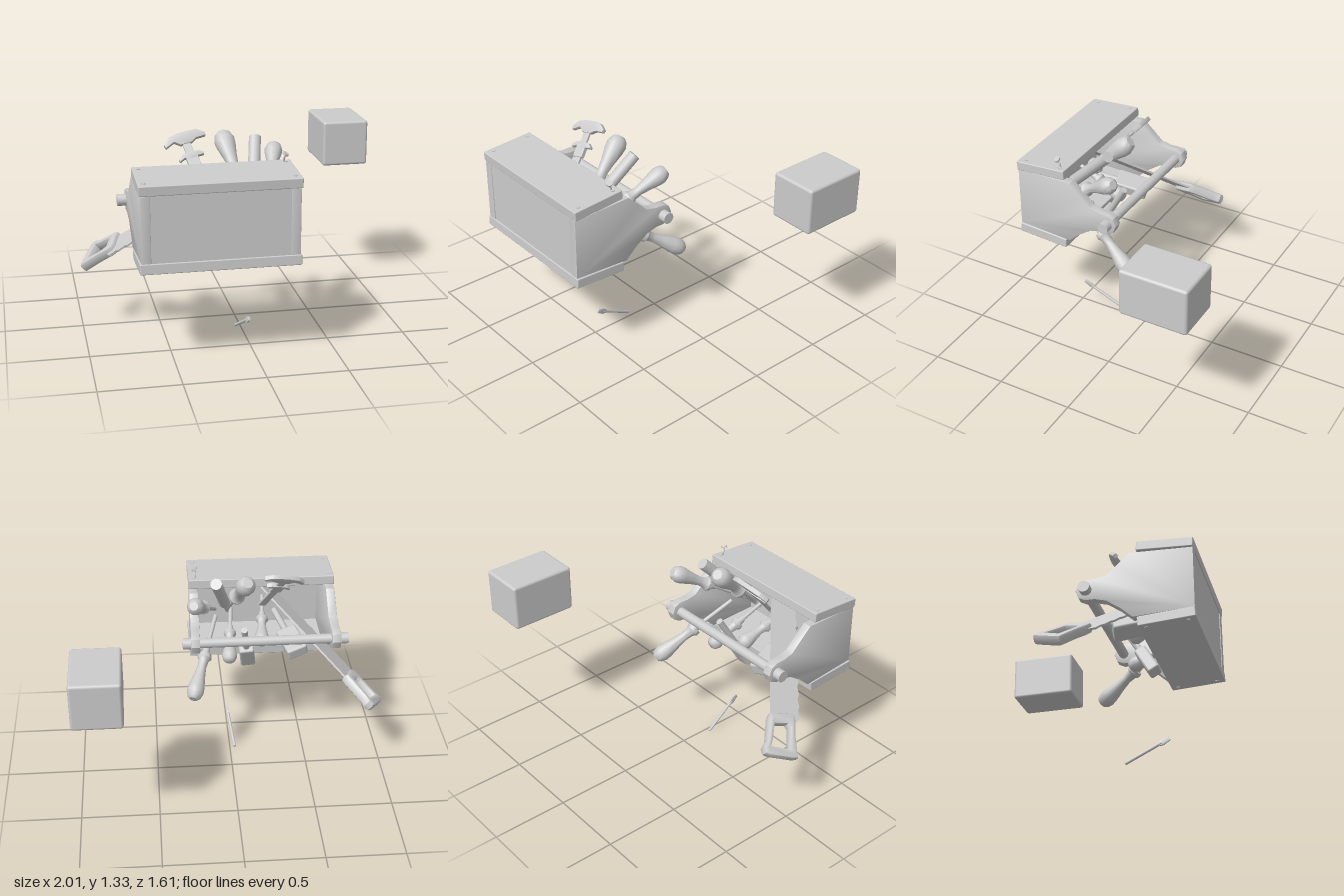
import * as THREE from 'three';
import { RoundedBoxGeometry } from 'three/addons/geometries/RoundedBoxGeometry.js';
import { toCreasedNormals } from 'three/addons/utils/BufferGeometryUtils.js';

const mat = new THREE.MeshStandardMaterial({ color: 0xcccccc });
const V = (a) => new THREE.Vector3(...a);
const outline = (pts) => pts.map((p) => new THREE.Vector2(...p));

export function createModel() {
  const root = new THREE.Group();

  const add = (name, geo, pos = [0, 0, 0], rot = [0, 0, 0], parent = root) => {
    const m = new THREE.Mesh(geo, mat);
    m.name = name;
    m.position.set(...pos);
    m.rotation.set(...rot);
    parent.add(m);
    return m;
  };
  const rbox = (w, h, d, r = 0.01) => new RoundedBoxGeometry(w, h, d, 2, r);
  const slab = (shape, depth, bevel = 0.004) => {
    const g = new THREE.ExtrudeGeometry(shape, {
      depth: depth - 2 * bevel, bevelEnabled: bevel > 0, bevelSize: bevel, bevelOffset: -bevel,
      bevelThickness: bevel, bevelSegments: 2, curveSegments: 10,
    });
    g.translate(0, 0, -depth / 2 + bevel);
    return toCreasedNormals(g, 0.6);
  };
  // Group whose local +y runs from a towards b
  const aimed = (name, a, b) => {
    const g = new THREE.Group();
    g.name = name;
    g.position.set(...a);
    g.quaternion.setFromUnitVectors(new THREE.Vector3(0, 1, 0), V(b).sub(V(a)).normalize());
    root.add(g);
    return g;
  };
  const rod = (name, a, b, r, seg = 12) => {
    const len = V(a).distanceTo(V(b));
    const g = new THREE.CylinderGeometry(r, r, len, seg);
    g.translate(0, len / 2, 0);
    add(name, g, [0, 0, 0], [0, 0, 0], aimed(name, a, b));
  };

  // Loose rounded block
  add('looseBlock', rbox(0.31, 0.305, 0.435, 0.018), [0.845, 1.038, -0.592]);

  // Toolbox lying with its opening towards the back
  add('sideBoardUpper', rbox(0.965, 0.062, 0.352, 0.006), [-0.23, 1.134, 0.628], [0.068, 0, 0]);
  add('sideBoardLower', rbox(0.965, 0.064, 0.352, 0.006), [-0.23, 0.642, 0.628], [-0.058, 0, 0]);
  add('basePanel', rbox(0.87, 0.46, 0.035, 0.004), [-0.23, 0.89, 0.777]);

  // End panels, drawn with shape x = -z
  const half = [[-0.8, 1.09], [-0.41, 1.105], [-0.33, 1.03], [-0.265, 0.97], [-0.195, 0.955], [-0.135, 0.955],
    [-0.095, 0.935], [-0.075, 0.887], [-0.095, 0.835], [-0.135, 0.815], [-0.195, 0.815], [-0.265, 0.795],
    [-0.35, 0.735], [-0.425, 0.665], [-0.8, 0.685]];
  const endGeo = slab(new THREE.Shape(outline(half)), 0.058);
  for (const s of [-1, 1]) {
    add('endPanel', endGeo, [-0.23 + s * 0.46, 0, 0], [0, Math.PI / 2 - s * 0.02, 0]);
    const end = -0.23 + s * 0.54;
    rod('handleEnd', [end - s * 0.055, 0.883, 0.14], [end, 0.883, 0.14], 0.037, 16);
    // Screws on both side boards
    for (const z of [0.5, 0.755]) {
      const x = -0.23 + s * 0.445;
      add('screw', new THREE.CylinderGeometry(0.013, 0.013, 0.008, 10), [x, 1.165 - (z - 0.628) * 0.068, z]);
      add('screw', new THREE.CylinderGeometry(0.013, 0.013, 0.008, 10), [x, 0.61 + (z - 0.628) * 0.058, z]);
    }
  }
  rod('carryBar', [-0.74, 0.883, 0.14], [0.28, 0.883, 0.14], 0.032, 16);

  // Bent nail
  const nail = new THREE.CatmullRomCurve3([[0.205, 1.16, 0.5], [0.205, 1.195, 0.505], [0.205, 1.205, 0.515], [0.21, 1.225, 0.52]].map(V));
  add('bentNail', new THREE.TubeGeometry(nail, 10, 0.006, 6));
  add('nailHead', new THREE.CylinderGeometry(0.02, 0.02, 0.012, 10), [0.21, 1.228, 0.52], [0.3, 0, -0.5]);

  // Turned handles with ferrule and shaft: from collar, to butt
  const handle = (name, collar, butt, r, shaft) => {
    const len = V(collar).distanceTo(V(butt));
    const g = aimed(name, collar, butt);
    const prof = [[0, 0], [0.8, 0], [0.85, 0.08], [0.6, 0.14], [0.52, 0.28], [0.68, 0.48], [0.95, 0.72], [1, 0.84], [0.8, 0.95], [0.5, 1], [0, 1]];
    const geo = new THREE.LatheGeometry(outline(prof.map(([x, y]) => [x * r, y * len])), 14);
    add('grip', toCreasedNormals(geo, 0.7), [0, 0, 0], [0, 0, 0], g);
    add('ferrule', new THREE.CylinderGeometry(r * 0.5, r * 0.4, 0.05, 12), [0, -0.022, 0], [0, 0, 0], g);
    add('shaft', new THREE.CylinderGeometry(0.014, 0.014, shaft, 8), [0, -shaft / 2, 0], [0, 0, 0], g);
  };
  handle('largeUpperTool', [-0.06, 1.06, 0.42], [-0.115, 1.29, 0.175], 0.064, 0.25);
  handle('cornerUpperTool', [0.16, 1.03, 0.35], [0.235, 1.18, 0.1], 0.056, 0.36);
  handle('cornerLowerTool', [0.16, 0.74, 0.235], [0.255, 0.565, -0.03], 0.056, 0.3);
  handle('middleTool', [-0.02, 0.78, 0.45], [0.0, 0.68, 0.23], 0.05, 0.2);
  handle('shortTool', [-0.24, 0.85, 0.5], [-0.22, 0.77, 0.29], 0.05, 0.2);

  // Straight file handle
  rod('fileHandle', [0.01, 0.96, 0.53], [0.085, 1.265, 0.225], 0.038);
  rod('fileBlade', [-0.02, 0.84, 0.65], [0.02, 1.0, 0.49], 0.02, 6);

  // Wooden blocks with stems, resting on the lower edge
  const block = (a, b, w, d) => {
    const len = V(a).distanceTo(V(b));
    const g = aimed('malletBlock', a, b);
    add('block', rbox(w, len, d, 0.014), [0, len / 2, 0], [0, 0, 0], g);
    add('stem', new THREE.CylinderGeometry(0.022, 0.022, 0.25, 10), [0, len + 0.1, 0], [0, 0, 0], g);
  };
  block([-0.14, 0.56, 0.43], [-0.12, 0.73, 0.33], 0.1, 0.08);
  block([-0.46, 0.72, 0.24], [-0.4, 0.77, 0.45], 0.14, 0.08);

  // Caliper: local y runs along the beam out of the box
  const caliper = new THREE.Group();
  caliper.name = 'caliper';
  const up = V([-0.1, 0.3, -0.27]).normalize();
  const across = V([1, 0.2, -0.15]).addScaledVector(up, -V([1, 0.2, -0.15]).dot(up)).normalize();
  caliper.quaternion.setFromRotationMatrix(new THREE.Matrix4().makeBasis(across, up, across.clone().cross(up)));
  caliper.position.set(-0.36, 1.285, 0.225);
  root.add(caliper);
  const jaw = (s, y) => {
    const pts = [[-0.035, 0.03], [0.035, 0.03], [0.09, 0.025], [0.135, -0.01], [0.13, -0.03], [0.07, -0.03], [0.035, -0.05],
      [-0.035, -0.05], [-0.07, -0.02], [-0.13, -0.045], [-0.135, -0.02], [-0.09, 0.02]];
    add('jaw', slab(new THREE.Shape(outline(pts.map(([a, b]) => [a * s, b * s]))), 0.03), [0, y, 0], [0, 0, 0], caliper);
  };
  jaw(1, 0);
  jaw(0.6, -0.13);
  add('beam', rbox(0.05, 0.5, 0.018, 0.004), [0, -0.24, 0], [0, 0, 0], caliper);
  add('slider', rbox(0.075, 0.09, 0.03, 0.005), [0, -0.17, 0], [0, 0, 0], caliper);

  // Hand saw: local x climbs into the box, local y is world z
  const saw = new THREE.Group();
  saw.name = 'handSaw';
  saw.quaternion.setFromRotationMatrix(new THREE.Matrix4().makeBasis(
    V([0.76, 0.65, 0]).normalize(), V([0, 0, 1]), V([0.65, -0.76, 0]).normalize()));
  saw.position.set(-0.7, 0.67, 0);
  root.add(saw);
  const blade = [[0.62, 0.55], [0.5, 0.455], [-0.09, 0.05], [-0.19, 0.18]];
  const teeth = 10;
  for (let i = 0; i < teeth; i++) {
    const x = -0.18 + (i / teeth) * 0.68;
    const y = 0.2 + (i / teeth) * 0.44;
    blade.push([x, y + 0.035], [x + 0.052, y + 0.055]);
  }
  add('sawBlade', slab(new THREE.Shape(outline(blade)), 0.012, 0), [0, 0, 0], [0, 0, 0], saw);
  const grip = new THREE.Shape(outline([[-0.385, 0.07], [-0.375, 0.04], [-0.285, -0.1], [-0.262, -0.12], [-0.225, -0.11], [-0.2, -0.065],
    [-0.08, 0.03], [-0.06, 0.06], [-0.085, 0.1], [-0.11, 0.17], [-0.14, 0.205], [-0.18, 0.19], [-0.25, 0.14]]));
  grip.holes.push(new THREE.Path(outline([[-0.31, 0.05], [-0.24, -0.055], [-0.22, -0.03], [-0.135, 0.045], [-0.17, 0.125], [-0.2, 0.125]])));
  add('sawGrip', slab(grip, 0.066, 0.018), [0, 0, 0], [0, 0, 0], saw);

  // Small loose screwdriver bit with a flattened tip
  const bit = aimed('looseBit', [-0.033, 0.012, 0.2], [0.003, 0.165, 0.475]);
  add('bitShaft', new THREE.CylinderGeometry(0.01, 0.01, 0.26, 10), [0, 0.13, 0], [0, 0, 0], bit);
  const tip = new THREE.Shape(outline([[-0.009, 0.235], [0.009, 0.235], [0.02, 0.265], [0.013, 0.317], [-0.013, 0.317], [-0.02, 0.265]]));
  add('bitTip', slab(tip, 0.012, 0.003), [0, 0, 0], [0, Math.PI / 2, 0], bit);

  return root;
}
